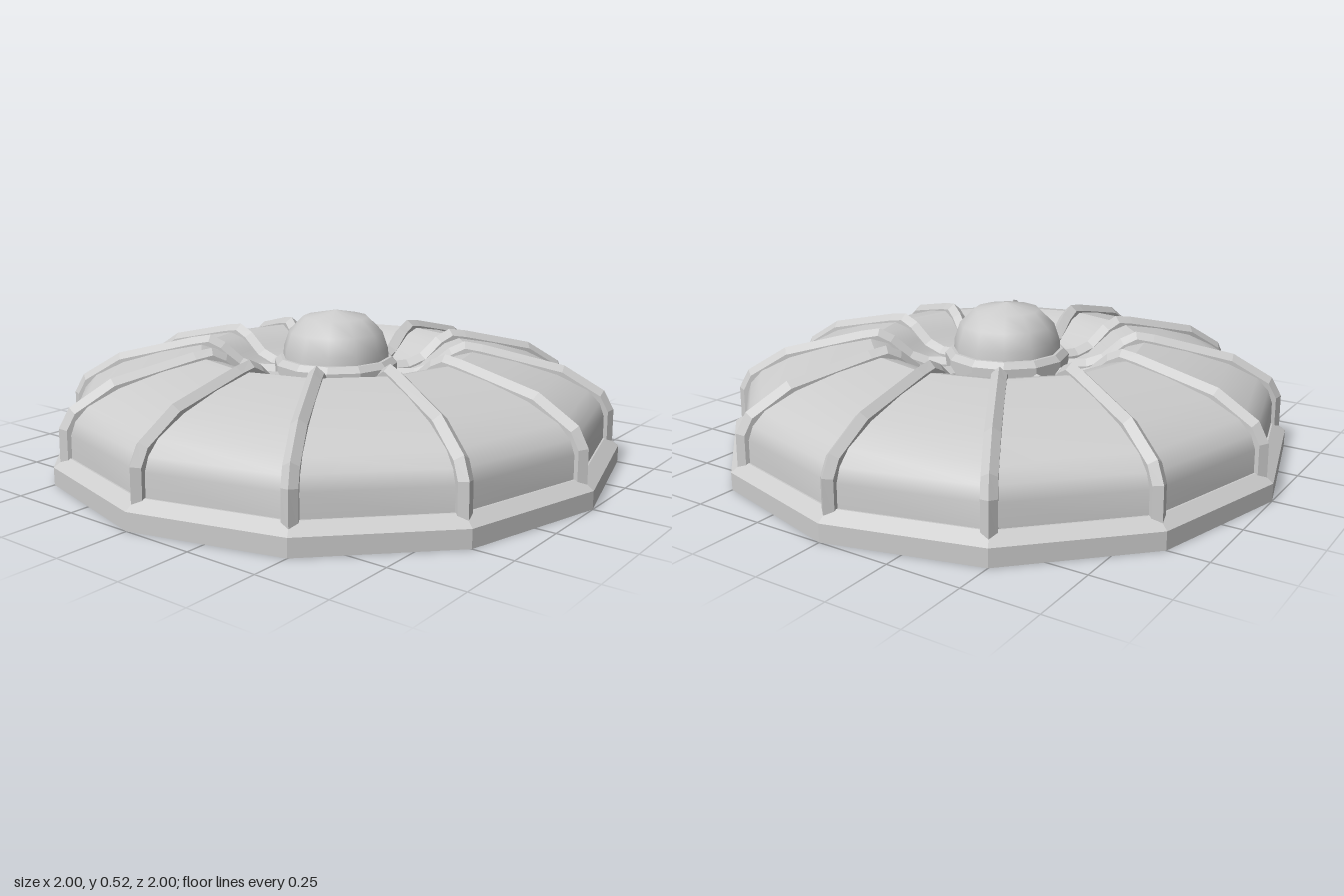
import * as THREE from 'three';

const SIDES = 12;
const STEP = (Math.PI * 2) / SIDES;
const smooth = new THREE.MeshStandardMaterial({ color: 0xcccccc, side: THREE.DoubleSide });
const flat = new THREE.MeshStandardMaterial({ color: 0xcccccc, flatShading: true });

const toPoints = (list) => list.map(([r, y]) => new THREE.Vector2(r, y));

function addMesh(parent, name, geometry, material) {
  const mesh = new THREE.Mesh(geometry, material);
  mesh.name = name;
  parent.add(mesh);
  return mesh;
}

// One panel strip: flat across its width, smooth along its profile
function panelGeometry(profile, index) {
  const g = new THREE.LatheGeometry(toPoints(profile), 1, index * STEP, STEP);
  g.computeVertexNormals();
  return g;
}

// Ridged bar swept along a path in the x-y plane; the path is the ridge line
function ribGeometry(path) {
  const section = [[-0.025, -0.06], [0.025, -0.06], [0.025, -0.022], [0, 0], [-0.025, -0.022]];
  const n = section.length;
  const pts = toPoints(path);
  const positions = [];
  const index = [];
  pts.forEach((p, i) => {
    const a = pts[Math.max(i - 1, 0)];
    const b = pts[Math.min(i + 1, pts.length - 1)];
    const t = b.clone().sub(a).normalize();
    for (const [z, h] of section) positions.push(p.x + t.y * h, p.y - t.x * h, z);
    if (i === pts.length - 1) return;
    for (let j = 0; j < n; j++) {
      const k = (j + 1) % n;
      const q = i * n;
      index.push(q + j, q + k, q + n + j, q + k, q + n + k, q + n + j);
    }
  });
  // End caps
  const last = (pts.length - 1) * n;
  for (let j = 1; j < n - 1; j++) {
    index.push(0, j + 1, j, last, last + j, last + j + 1);
  }
  const g = new THREE.BufferGeometry();
  g.setAttribute('position', new THREE.Float32BufferAttribute(positions, 3));
  g.setIndex(index);
  g.computeVertexNormals();
  return g;
}

export function createModel() {
  const model = new THREE.Group();
  model.name = 'skylightDome';

  // Base rim with a sloping upper edge
  const rim = [[0.94, 0], [1, 0], [1, 0.06], [0.955, 0.092], [0.94, 0.092], [0.94, 0]];
  addMesh(model, 'baseRim', new THREE.LatheGeometry(toPoints(rim), SIDES), flat);

  // Roof panels: a rounded outer slope and a bowl dipping to the hub
  const outer = [[0.95, 0.06], [0.948, 0.17], [0.932, 0.215], [0.89, 0.26], [0.785, 0.312], [0.64, 0.355], [0.49, 0.385]];
  const bowl = [[0.49, 0.385], [0.43, 0.37], [0.38, 0.335], [0.33, 0.3], [0.28, 0.285], [0.19, 0.28]];
  const panels = new THREE.Group();
  panels.name = 'panels';
  model.add(panels);
  for (let i = 0; i < SIDES; i++) {
    addMesh(panels, 'outerPanel', panelGeometry(outer, i), smooth);
    addMesh(panels, 'bowlPanel', panelGeometry(bowl, i), smooth);
  }

  // Ribs over every corner
  const rib = ribGeometry([
    [0.978, 0.06], [0.976, 0.19], [0.94, 0.257], [0.8, 0.342], [0.52, 0.408],
    [0.455, 0.418], [0.4, 0.392], [0.335, 0.335], [0.28, 0.316], [0.19, 0.315],
  ]);
  const ribs = new THREE.Group();
  ribs.name = 'ribs';
  model.add(ribs);
  for (let i = 0; i < SIDES; i++) addMesh(ribs, 'rib', rib, flat).rotation.y = i * STEP;

  // Hub ring
  const ring = [[0.18, 0.26], [0.21, 0.26], [0.22, 0.27], [0.22, 0.335], [0.2, 0.355], [0.18, 0.355], [0.18, 0.26]];
  addMesh(model, 'hubRing', new THREE.LatheGeometry(toPoints(ring), SIDES), flat);

  // Small dome on the hub
  const cap = [[0.19, 0.33], [0.187, 0.385], [0.167, 0.445], [0.115, 0.496], [0, 0.52]];
  addMesh(model, 'hubDome', new THREE.LatheGeometry(toPoints(cap), SIDES), smooth);

  return model;
}
